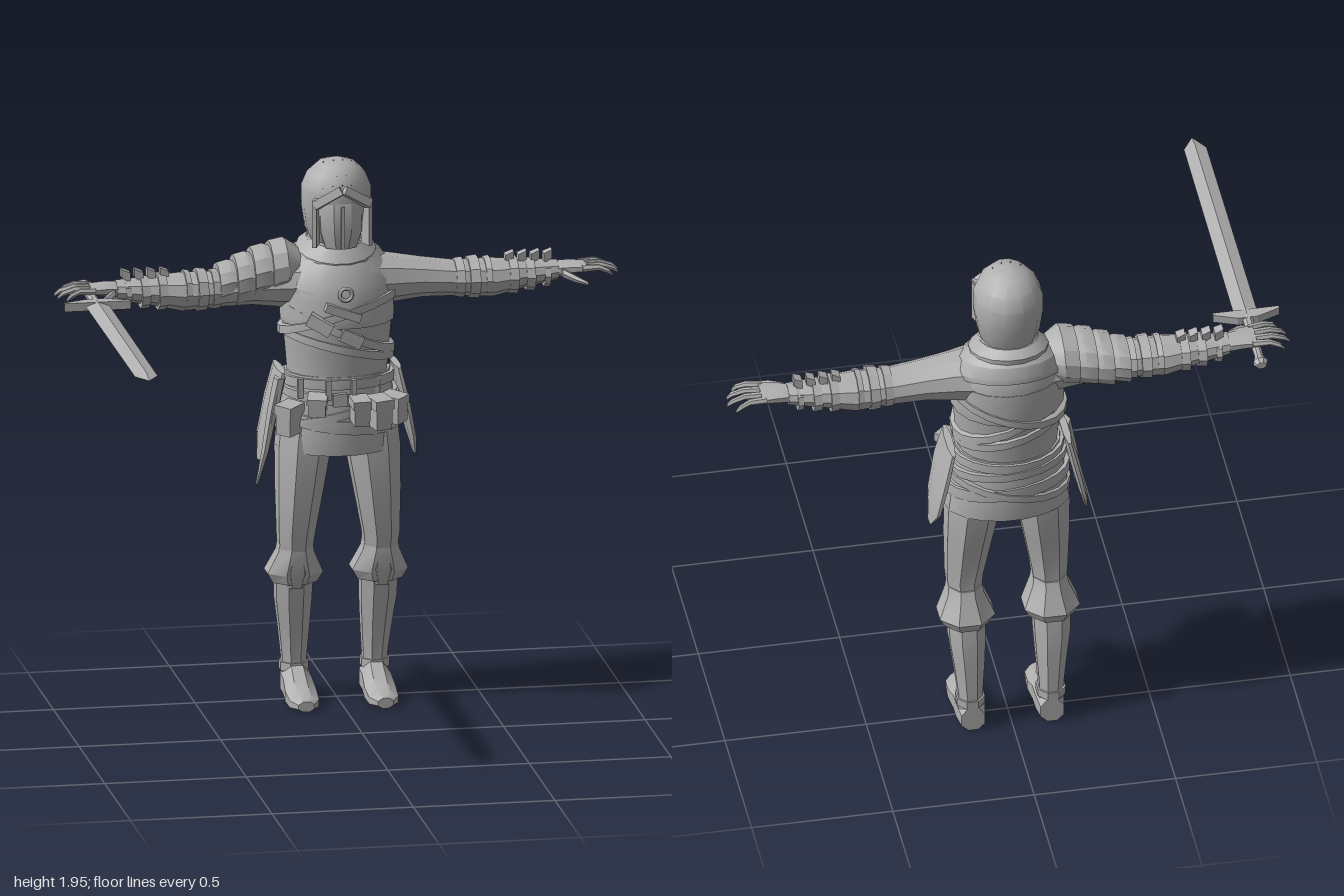
import * as THREE from 'three';
import { toCreasedNormals } from 'three/addons/utils/BufferGeometryUtils.js';

const steel = new THREE.MeshStandardMaterial({ color: 0xb0b0b0 });
steel.name = 'grey';

// Closed loft along an axis. Section: [t, a, b, ra, rb, tiltA, tiltB], where a and b are
// the next two axes in x-y-z order (y: a = z, b = x).
function loft(axis, sections, n = 8, crease = 0.5, phase = Math.PI / n) {
  const pos = [], index = [], k = 'xyz'.indexOf(axis);
  const put = (t, a, b) => {
    const p = [0, 0, 0];
    p[k] = t; p[(k + 1) % 3] = a; p[(k + 2) % 3] = b;
    pos.push(p[0], Math.max(p[1], 0), p[2]);
  };
  for (const [t, a, b, ra, rb, ta = 0, tb = 0] of sections) {
    for (let i = 0; i < n; i++) {
      const w = phase + i * 2 * Math.PI / n, da = ra * Math.cos(w), db = rb * Math.sin(w);
      put(t + ta * da + tb * db, a + da, b + db);
    }
  }
  for (let s = 0; s < sections.length - 1; s++) {
    for (let i = 0; i < n; i++) {
      const a = s * n + i, b = s * n + (i + 1) % n;
      index.push(a, b, b + n, a, b + n, a + n);
    }
  }
  const last = (sections.length - 1) * n;
  for (let i = 1; i < n - 1; i++) index.push(0, i + 1, i, last, last + i, last + i + 1);
  const g = new THREE.BufferGeometry();
  g.setAttribute('position', new THREE.Float32BufferAttribute(pos, 3));
  g.setIndex(index);
  return toCreasedNormals(g, crease);
}

export function createModel() {
  const model = new THREE.Group();
  model.name = 'swordsman';
  const add = (name, geometry, parent = model) => {
    const m = new THREE.Mesh(geometry, steel);
    m.name = name;
    parent.add(m);
    return m;
  };
  const box = (name, w, h, d, x, y, z, rx = 0, ry = 0, rz = 0) => {
    const m = add(name, new THREE.BoxGeometry(w, h, d));
    m.position.set(x, y, z);
    m.rotation.set(rx, ry, rz);
    return m;
  };
  // Strap around the body: tiltX lifts the left side, tiltZ lifts the front
  const band = (name, y, h, rx, rz, tiltX = 0, tiltZ = 0, cz = -0.49) =>
    add(name, loft('y', [[y - h / 2, cz, 0, rz, rx, tiltZ, tiltX], [y + h / 2, cz, 0, rz, rx, tiltZ, tiltX]], 20));

  // Torso, mantle and collar
  add('torso', loft('y', [
    [1.1, -0.49, 0, 0.145, 0.175], [1.2, -0.49, 0, 0.15, 0.178], [1.28, -0.49, 0, 0.158, 0.185],
    [1.37, -0.49, 0, 0.17, 0.193], [1.45, -0.495, 0, 0.174, 0.2], [1.52, -0.5, 0, 0.165, 0.195],
    [1.58, -0.51, 0, 0.14, 0.15], [1.65, -0.51, 0, 0.09, 0.09]], 18, 0.8));
  add('chestGarment', loft('y', [
    [1.37, -0.49, 0, 0.177, 0.2], [1.4, -0.49, 0, 0.18, 0.203], [1.5, -0.5, 0, 0.168, 0.198]], 18, 0.8));
  add('mantle', loft('y', [
    [1.515, -0.505, 0, 0.178, 0.2, -0.28], [1.535, -0.505, 0, 0.176, 0.2, -0.28],
    [1.585, -0.51, 0, 0.155, 0.172, -0.25], [1.63, -0.51, 0, 0.115, 0.122, -0.2],
    [1.66, -0.51, 0, 0.09, 0.1, -0.15]], 18, 0.4));
  add('collar', loft('y', [
    [1.58, -0.515, 0, 0.138, 0.145, -0.22], [1.62, -0.515, 0, 0.142, 0.14, -0.22],
    [1.655, -0.515, 0, 0.105, 0.105, -0.15]], 16, 0.4));
  band('chestStrap', 1.345, 0.03, 0.2, 0.178, -0.42);
  band('crossStrap', 1.29, 0.028, 0.198, 0.175, -0.25);
  band('backStrap', 1.4, 0.028, 0.21, 0.185, 0.3, 0.12);
  box('strapBuckle', 0.08, 0.045, 0.025, 0.02, 1.335, -0.315, 0, 0, -0.45);
  box('chestPouch', 0.09, 0.045, 0.04, -0.09, 1.39, -0.32, 0, -0.3, -0.5);
  box('smallSheath', 0.13, 0.03, 0.03, -0.01, 1.43, -0.315, 0, 0, -0.35);
  const brooch = add('brooch', new THREE.TorusGeometry(0.022, 0.007, 6, 12));
  brooch.position.set(0, 1.495, -0.315);

  // Skirt, belts and pouches
  add('skirt', loft('y', [
    [0.925, -0.49, 0, 0.16, 0.222, -0.1], [1.0, -0.49, 0, 0.163, 0.215, -0.08],
    [1.1, -0.49, 0, 0.158, 0.2], [1.19, -0.49, 0, 0.152, 0.186]], 18, 0.5));
  band('waistSash', 1.165, 0.035, 0.2, 0.162);
  band('upperBelt', 1.12, 0.03, 0.212, 0.168, -0.08, -0.1);
  band('lowerBelt', 1.05, 0.028, 0.222, 0.172, 0.22, 0.05);
  band('backWrap', 1.035, 0.045, 0.218, 0.168, -0.1, -0.15);
  for (const [x, y, z, w, h, turn] of [
    [0.045, 1.08, -0.285, 0.055, 0.085, 0.05], [0.115, 1.07, -0.29, 0.06, 0.1, 0.3],
    [0.175, 1.07, -0.345, 0.06, 0.09, 0.8], [-0.1, 1.1, -0.315, 0.06, 0.06, -0.25],
    [-0.19, 1.04, -0.37, 0.06, 0.1, -0.8]]) {
    box('pouch', w, h, 0.075, x, y, z, 0.1, turn, 0);
    box('pouchLid', w + 0.01, h * 0.35, 0.085, x, y + h * 0.4, z, 0.1, turn, 0);
  }
  box('beltBuckle', 0.05, 0.045, 0.02, -0.02, 1.115, -0.32);
  for (let i = 0; i < 4; i++) box('beltLoop', 0.018, 0.07, 0.02, -0.15 + i * 0.09, 1.15, i % 3 ? -0.325 : -0.375);
  for (const s of [-1, 1]) {
    add('hipFlap', loft('y', [
      [0.87, -0.5, s * 0.275, 0.03, 0.006], [0.95, -0.5, s * 0.26, 0.1, 0.014],
      [1.08, -0.49, s * 0.232, 0.115, 0.018], [1.2, -0.49, s * 0.205, 0.1, 0.014]], 8));
  }
  // Sheath hanging at the right hip
  add('sheath', loft('y', [
    [0.8, -0.42, -0.295, 0.006, 0.005], [0.92, -0.42, -0.265, 0.022, 0.014],
    [1.06, -0.42, -0.24, 0.03, 0.02], [1.18, -0.42, -0.215, 0.035, 0.022]], 6));

  // Legs and feet
  for (const s of [-1, 1]) {
    const leg = new THREE.Group();
    leg.name = s > 0 ? 'leftLeg' : 'rightLeg';
    model.add(leg);
    add('thigh', loft('y', [
      [0.5, -0.485, s * 0.15, 0.07, 0.058], [0.6, -0.47, s * 0.15, 0.078, 0.068],
      [0.76, -0.475, s * 0.137, 0.105, 0.085], [0.92, -0.484, s * 0.122, 0.125, 0.1],
      [1.04, -0.49, s * 0.11, 0.12, 0.1]], 8), leg);
    add('kneeCuff', loft('y', [
      [0.425, -0.51, s * 0.15, 0.084, 0.085], [0.46, -0.51, s * 0.15, 0.1, 0.106],
      [0.54, -0.485, s * 0.15, 0.083, 0.068], [0.57, -0.48, s * 0.15, 0.075, 0.064]], 8), leg);
    add('kneeGuard', loft('y', [
      [0.41, -0.455, s * 0.152, 0.02, 0.03], [0.47, -0.435, s * 0.152, 0.026, 0.05],
      [0.54, -0.435, s * 0.152, 0.026, 0.03]], 6), leg);
    add('shin', loft('y', [
      [0.08, -0.55, s * 0.143, 0.052, 0.048], [0.14, -0.55, s * 0.143, 0.052, 0.046],
      [0.26, -0.537, s * 0.146, 0.063, 0.058], [0.36, -0.525, s * 0.15, 0.072, 0.068],
      [0.44, -0.51, s * 0.15, 0.074, 0.07]], 8), leg);
    add('ankleBand', loft('y', [
      [0.095, -0.55, s * 0.143, 0.058, 0.053], [0.125, -0.55, s * 0.143, 0.058, 0.053]], 8), leg);
    add('foot', loft('z', [
      [-0.6, s * 0.14, 0.045, 0.045, 0.055], [-0.55, s * 0.14, 0.055, 0.055, 0.075],
      [-0.49, s * 0.14, 0.05, 0.055, 0.072], [-0.42, s * 0.14, 0.03, 0.06, 0.048],
      [-0.35, s * 0.14, 0.02, 0.056, 0.032], [-0.31, s * 0.14, 0.018, 0.03, 0.02]], 8), leg);
  }

  // Arms, bands and hands; sections are written for the left arm and mirrored
  for (const s of [-1, 1]) {
    const arm = new THREE.Group();
    arm.name = s > 0 ? 'leftArm' : 'rightArm';
    model.add(arm);
    const along = (name, sections, n = 8) => {
      const list = sections.map(([x, ...rest]) => [s * x, ...rest]);
      return add(name, loft('x', s > 0 ? list : list.reverse(), n), arm);
    };
    along('sleeve', [
      [0.1, 1.505, -0.505, 0.095, 0.12], [0.2, 1.5, -0.505, 0.085, 0.095], [0.3, 1.497, -0.505, 0.07, 0.082],
      [0.42, 1.487, -0.505, 0.062, 0.075], [0.55, 1.483, -0.505, 0.067, 0.08],
      [0.66, 1.492, -0.505, 0.05, 0.062], [0.78, 1.5, -0.503, 0.034, 0.046]], 10);
    for (const [x, w, ry, rz] of [[0.43, 0.03, 0.07, 0.083], [0.48, 0.035, 0.075, 0.09],
      [0.53, 0.02, 0.072, 0.085], [0.62, 0.03, 0.066, 0.078], [0.68, 0.03, 0.058, 0.07], [0.74, 0.02, 0.048, 0.06]]) {
      along('armBand', [[x - w / 2, 1.488, -0.505, ry * 0.95, rz * 0.95], [x + w / 2, 1.488, -0.505, ry, rz]], 10);
    }
    for (let i = 0; i < 4; i++) { // raised bracer fins
      const x = 0.595 + i * 0.045;
      along('bracerFin', [[x, 1.545, -0.505, 0.025, 0.028], [x + 0.03, 1.56, -0.505, 0.022, 0.024]], 4);
    }
    along('palm', [[0.76, 1.5, -0.503, 0.03, 0.04], [0.82, 1.508, -0.498, 0.024, 0.052],
      [0.875, 1.51, -0.495, 0.017, 0.058]]);
    for (let i = 0; i < 4; i++) {
      const z = -0.54 + i * 0.03, z2 = -0.555 + i * 0.04, len = [0.1, 0.125, 0.12, 0.095][i];
      along('finger', [[0.86, 1.512, z, 0.013, 0.014], [0.87 + len * 0.5, 1.516, (z + z2) / 2, 0.011, 0.012],
        [0.87 + len * 0.85, 1.503, z2, 0.01, 0.01], [0.87 + len, 1.488, z2, 0.006, 0.006]], 6);
    }
    along('thumb', [[0.79, 1.498, -0.46, 0.017, 0.02], [0.83, 1.485, -0.42, 0.014, 0.018],
      [0.87, 1.473, -0.39, 0.007, 0.009]], 6);
  }

  // Layered shoulder armour on the right
  [[-0.235, -0.13, 1.555, 0.1, 0.113], [-0.3, -0.215, 1.54, 0.095, 0.113],
    [-0.36, -0.28, 1.52, 0.09, 0.107], [-0.42, -0.34, 1.507, 0.076, 0.095]].forEach(([outer, inner, y, ry, rz], i) => {
    add('shoulderPlate', loft('x', [
      [outer, y - 0.01, -0.52, ry, rz], [(outer + inner) / 2, y, -0.52, ry, rz],
      [inner, y, -0.52, ry * (i ? 0.88 : 0.65), rz * (i ? 0.88 : 0.7)]], 12));
  });

  // Helmet, mask and crest spikes
  add('neck', loft('y', [[1.58, -0.51, 0, 0.07, 0.07], [1.72, -0.51, 0, 0.08, 0.08]], 10));
  add('helmet', loft('y', [
    [1.645, -0.515, 0, 0.095, 0.088], [1.69, -0.51, 0, 0.115, 0.11], [1.77, -0.508, 0, 0.132, 0.122],
    [1.84, -0.507, 0, 0.134, 0.122], [1.89, -0.505, 0, 0.112, 0.102],
    [1.925, -0.5, 0, 0.075, 0.066], [1.945, -0.495, 0, 0.01, 0.01]], 12, 0.6));
  add('faceMask', loft('y', [
    [1.64, -0.425, 0, 0.045, 0.058], [1.7, -0.425, 0, 0.055, 0.078], [1.8, -0.43, 0, 0.057, 0.082],
    [1.85, -0.44, 0, 0.04, 0.07]], 8));
  for (const s of [-1, 1]) {
    box('cheekPlate', 0.015, 0.17, 0.05, s * 0.09, 1.735, -0.405, 0, s * 0.4, 0);
    box('browPlate', 0.11, 0.03, 0.035, s * 0.05, 1.825, -0.385, -0.3, s * 0.35, -s * 0.45);
  }
  box('noseRidge', 0.012, 0.15, 0.02, 0, 1.72, -0.376);
  for (let row = 0; row < 4; row++) {
    const y = [1.865, 1.89, 1.91, 1.93][row], z = [-0.395, -0.415, -0.445, -0.475][row];
    for (let i = 0; i < 5 - row % 2; i++) {
      const u = i - (4 - row % 2) / 2;
      const spike = add('crestSpike', new THREE.ConeGeometry(0.009, 0.04, 4));
      spike.position.set(u * 0.03, y - u * u * 0.004, z - u * u * 0.006);
      spike.rotation.set(1.1 - row * 0.15, 0, -u * 0.2);
    }
  }

  // Sword held in the right hand
  const sword = new THREE.Group();
  sword.name = 'sword';
  sword.position.set(-0.873, 1.49, 0);
  model.add(sword);
  const outline = (z, w, h) => [z, 0, 0, w, h];
  const swordPart = (name, list, n, phase) => {
    const g = loft('z', list.map(([z, , , w, h]) => [z, 0, 1, w, h]), n, 0.2, phase);
    g.translate(0, -1, 0);
    add(name, g, sword);
  };
  swordPart('blade', [outline(-0.36, 0.042, 0.016), outline(0.61, 0.04, 0.014), outline(0.67, 0.002, 0.002)], 4, 0);
  swordPart('grip', [outline(-0.6, 0.016, 0.014), outline(-0.36, 0.02, 0.016)], 8);
  swordPart('pommel', [outline(-0.64, 0.018, 0.014), outline(-0.62, 0.027, 0.022), outline(-0.595, 0.018, 0.014)], 8);
  const guard = add('crossguard', new THREE.ExtrudeGeometry(new THREE.Shape([
    [-0.117, -0.335], [-0.117, -0.348], [-0.035, -0.38], [0.035, -0.38],
    [0.117, -0.348], [0.117, -0.335]].map(([x, z]) => new THREE.Vector2(x, -z))),
  { depth: 0.03, bevelEnabled: false }), sword);
  guard.rotation.x = -Math.PI / 2;
  guard.position.y = -0.015;
  return model;
}
